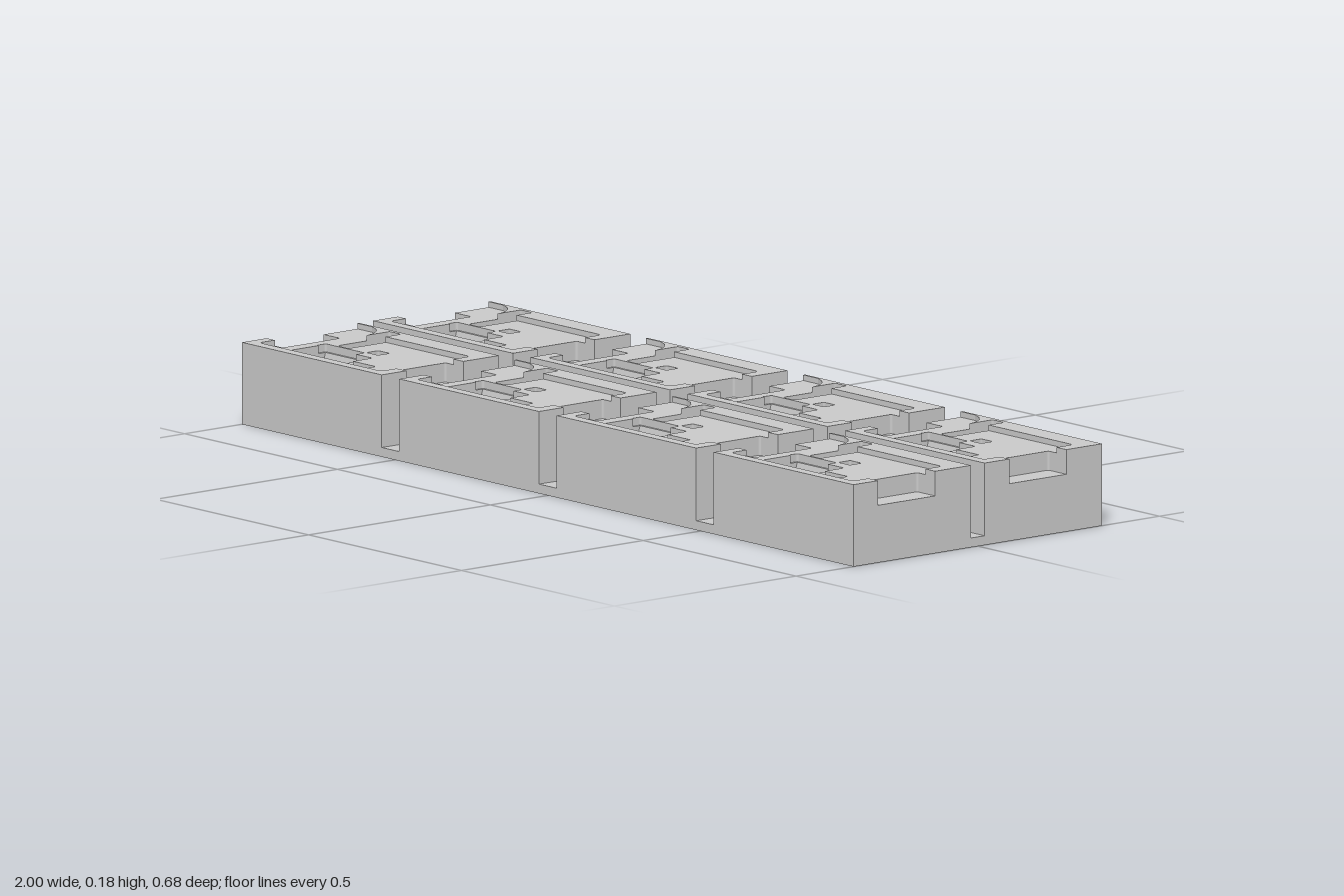
import * as THREE from 'three';

const U = 0.457 / 86;          // plan unit: one block is 86 x 60.8 units
const W = 86, D = 60.8;
// heights: plate, well floor, notch floor, shallow recess floor, pocket floor, rim
const PLATE = 0.02, WELL = 0.09, NOTCH = 0.123, RECESS = 0.147, POCKET = 0.164, TOP = 0.176;

// plan outline from [x, z] points; a third value rounds that corner
function trace(path, pts) {
  const n = pts.length;
  const toward = (a, b, r) => {
    const d = Math.hypot(b[0] - a[0], b[1] - a[1]);
    return [a[0] + (b[0] - a[0]) * r / d, a[1] + (b[1] - a[1]) * r / d];
  };
  pts.forEach((p, i) => {
    const r = p[2] || 0;
    const a = r ? toward(p, pts[(i + n - 1) % n], r) : p;
    if (i === 0) path.moveTo(a[0] * U, -a[1] * U);
    else path.lineTo(a[0] * U, -a[1] * U);
    if (r) {
      const b = toward(p, pts[(i + 1) % n], r);
      path.quadraticCurveTo(p[0] * U, -p[1] * U, b[0] * U, -b[1] * U);
    }
  });
  path.closePath();
  return path;
}

const rect = (x0, z0, x1, z1, r = 0) => [[x0, z0, r], [x1, z0, r], [x1, z1, r], [x0, z1, r]];

// horizontal slab between two heights; the outline runs opposite to its holes
function slab(outline, holes, y0, y1) {
  const shape = trace(new THREE.Shape(), outline.slice().reverse());
  shape.holes = holes;
  const g = new THREE.ExtrudeGeometry(shape, { depth: y1 - y0, bevelEnabled: false, curveSegments: 8 });
  g.rotateX(-Math.PI / 2);
  g.translate(0, y0, 0);
  return g;
}

const hole = (pts) => trace(new THREE.Path(), pts);

export function createModel() {
  const group = new THREE.Group();
  const grey = new THREE.MeshStandardMaterial({ color: 0xc8c8c8 });
  grey.name = 'grey';

  // block outline with a grip notch in each end
  const notched = [[0, 0], [W, 0], [W, 18.5], [75, 18.5, 1], [75, 48, 1], [W, 48],
    [W, D], [0, D], [0, 48], [10, 48, 1], [10, 18.5, 1], [0, 18.5]];
  const full = rect(0, 0, W, D);

  // recesses
  const strip = hole(rect(21, 2, 28, 29, 1.5));
  const square = hole(rect(39, 23, 46, 29, 0.8));
  const well = hole(rect(16, 31, 38, 50.5));
  const steppedWell = hole([[15, 30, 1], [39, 30, 1], [39, 34.5], [49, 34.5, 1], [49, 44.5],
    [63, 44.5, 0.5], [63, 50.5, 0.5], [16, 50.5], [16, 34.5], [15, 34.5]]);
  const pins = [5.5, 10.5, 15.5, 20.5, 25.5].map((z) => {
    const p = new THREE.Path();
    p.absarc(24.5 * U, -z * U, 1.6 * U, 0, Math.PI * 2);
    return p;
  });

  // rim: back piece carries the curved cable flare, front piece closes the pocket
  const backRim = [[0, 0], [W, 0], [W, 18.5], [80, 18.5], [80, 10, 2], [28, 10], [28, 2, 1],
    [21, 2, 1], [21, 14], [19.5, 9], [17, 5.5], [13.5, 2.8], [9, 1], [0, 1]];
  const frontRim = [[0, D], [0, 48], [5, 48], [5, 56, 2], [80, 56, 2], [80, 48], [W, 48], [W, D]];

  // steep ramp at the back of the well
  const rampShape = new THREE.Shape([[0, 0], [3 * U, 0], [0, RECESS - WELL]]
    .map(([a, b]) => new THREE.Vector2(-a, b)));
  const ramp = new THREE.ExtrudeGeometry(rampShape, { depth: 22 * U, bevelEnabled: false });
  ramp.rotateY(Math.PI / 2);
  ramp.translate(16 * U, WELL, 31 * U);

  const parts = {
    blockBody: slab(full, [], PLATE, WELL),
    wellLayer: slab(full, [well], WELL, NOTCH),
    notchLayer: slab(notched, [well, square, ...pins], NOTCH, RECESS),
    pocketFloor: slab(notched, [steppedWell, square, strip], RECESS, POCKET),
    backRim: slab(backRim, [], POCKET, TOP),
    frontRim: slab(frontRim, [], POCKET, TOP),
    wellRamp: ramp,
  };

  // base plate
  const base = new THREE.Mesh(new THREE.BoxGeometry(2, PLATE, 0.684), grey);
  base.name = 'basePlate';
  base.position.y = PLATE / 2;
  group.add(base);

  // two rows of four identical fixture blocks
  for (const z of [-0.342, 0.019]) {
    for (let i = 0; i < 4; i++) {
      const block = new THREE.Group();
      block.name = 'fixtureBlock';
      block.position.set(-1 + i * (2 - 0.457) / 3, 0, z);
      for (const [name, geometry] of Object.entries(parts)) {
        const mesh = new THREE.Mesh(geometry, grey);
        mesh.name = name;
        block.add(mesh);
      }
      group.add(block);
    }
  }
  return group;
}
